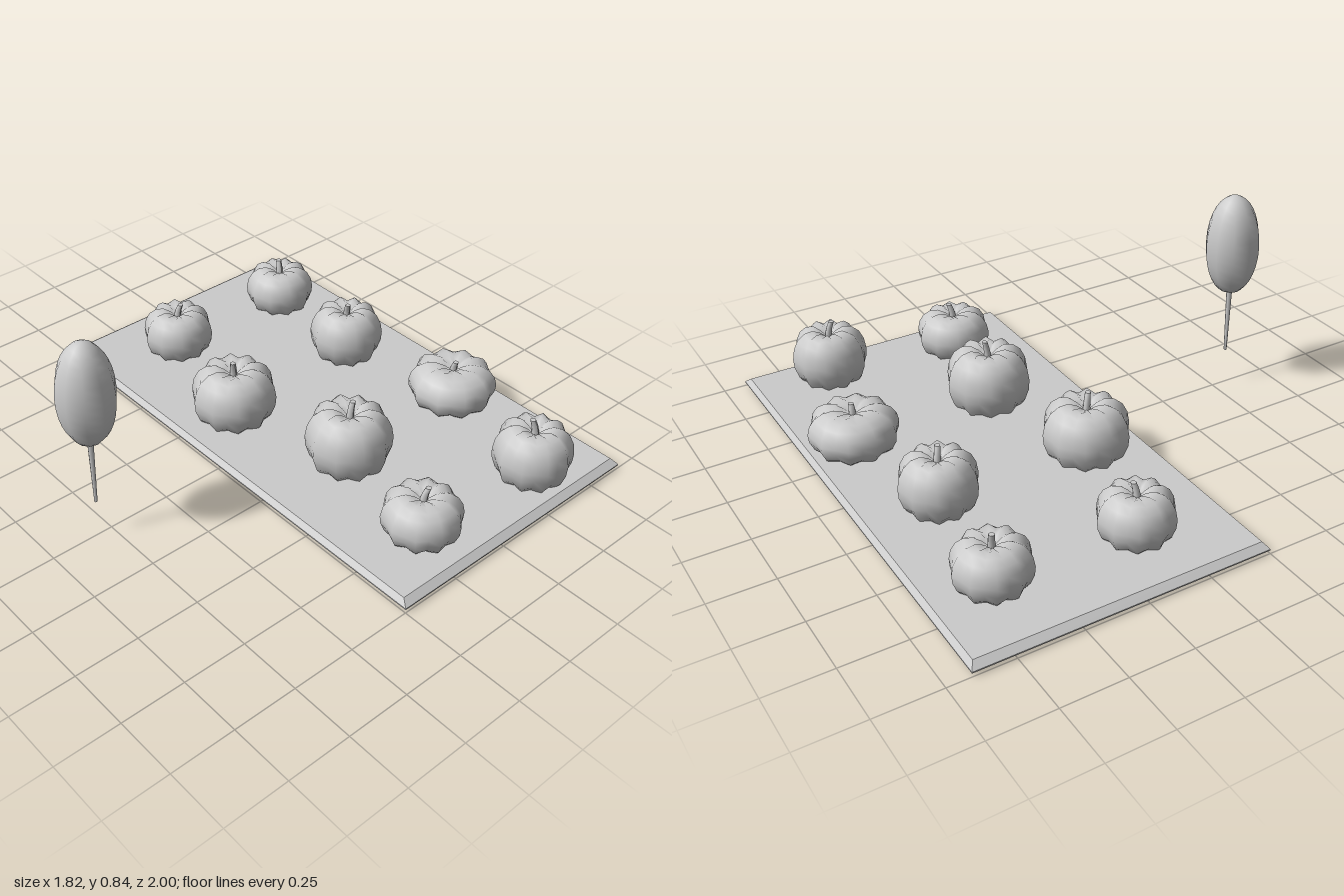
import * as THREE from 'three';
import { mergeVertices } from 'three/addons/utils/BufferGeometryUtils.js';

const material = new THREE.MeshStandardMaterial({ color: 0xcccccc });
const LOBES = 10;

function addMesh(parent, name, geometry) {
  const mesh = new THREE.Mesh(geometry, material);
  mesh.name = name;
  parent.add(mesh);
  return mesh;
}

// Weld the lathe seam and poles, then smooth
function smooth(geometry) {
  geometry.deleteAttribute('uv');
  geometry.deleteAttribute('normal');
  const welded = mergeVertices(geometry, 1e-4);
  welded.computeVertexNormals();
  return welded;
}

// Unit pumpkin body: radius 1, height 1, with grooves between the lobes
function pumpkinBody() {
  const profile = [
    [0, 0.12], [0.22, 0.04], [0.45, 0], [0.7, 0.06], [0.88, 0.2], [0.98, 0.38], [1, 0.54],
    [0.95, 0.72], [0.83, 0.87], [0.64, 0.97], [0.42, 1], [0.22, 0.95], [0, 0.84],
  ].map(([r, y]) => new THREE.Vector2(r, y));
  const geometry = new THREE.LatheGeometry(profile, LOBES * 2);
  const pos = geometry.attributes.position;
  for (let i = 0; i < pos.count; i++) {
    const segment = Math.floor(i / profile.length);
    const { x: r, y } = profile[i % profile.length];
    if (segment % 2 === 0 || r === 0) continue;
    pos.setXYZ(i, pos.getX(i) * 0.925, y - (y - 0.5) * 0.13, pos.getZ(i) * 0.925);
  }
  return smooth(geometry);
}

// Short stem that leans and flares at its foot
function pumpkinStem(length, leanX, leanZ) {
  const geometry = new THREE.CylinderGeometry(0.011, 0.015, length, 8, 3);
  geometry.translate(0, length / 2, 0);
  const pos = geometry.attributes.position;
  for (let i = 0; i < pos.count; i++) {
    const t = pos.getY(i) / length;
    pos.setX(i, pos.getX(i) + leanX * t * t);
    pos.setZ(i, pos.getZ(i) + leanZ * t * t);
  }
  geometry.computeVertexNormals();
  return geometry;
}

export function createModel() {
  const group = new THREE.Group();

  // Ground slab with sloping edges
  const slab = new THREE.BoxGeometry(1.16, 0.026, 2, 1, 2, 1);
  const sp = slab.attributes.position;
  for (let i = 0; i < sp.count; i++) {
    const y = sp.getY(i);
    if (y > 0.01) {
      sp.setX(i, sp.getX(i) * 0.97);
      sp.setZ(i, sp.getZ(i) * 0.972);
    } else if (Math.abs(y) < 0.001) {
      sp.setY(i, -0.008);
    }
  }
  const slabFlat = slab.toNonIndexed();
  slabFlat.computeVertexNormals();
  addMesh(group, 'groundSlab', slabFlat).position.set(0.33, 0.027, 0);

  // Pumpkins: x, z, radius, bottom, top, stem top, stem lean x, stem lean z, turn
  const body = pumpkinBody();
  const patch = [
    [0.11, -0.705, 0.145, 0.004, 0.225, 0.25, 0.01, 0.01, 0.1],
    [0.665, -0.685, 0.145, 0.011, 0.22, 0.25, 0.005, -0.012, 0.25],
    [-0.01, -0.19, 0.17, 0, 0.262, 0.293, -0.012, 0.01, 0.05],
    [0.62, -0.21, 0.15, 0.011, 0.262, 0.285, -0.01, 0.015, 0.15],
    [0.13, 0.32, 0.168, 0.001, 0.282, 0.312, 0.012, 0, 0.2],
    [0.72, 0.305, 0.176, 0.01, 0.205, 0.218, 0, 0.01, 0.1],
    [0.05, 0.78, 0.152, 0.011, 0.215, 0.243, 0.012, 0.01, 0.3],
    [0.595, 0.825, 0.152, 0.008, 0.262, 0.295, -0.015, -0.008, 0.12],
  ];
  patch.forEach(([x, z, r, bottom, top, stemTop, leanX, leanZ, turn], i) => {
    const pumpkin = new THREE.Group();
    pumpkin.name = `pumpkin${i + 1}`;
    pumpkin.position.set(x, bottom, z);
    const height = top - bottom;
    const shell = addMesh(pumpkin, 'pumpkinBody', body);
    shell.scale.set(r, height, r);
    shell.rotation.y = turn;
    const foot = height * 0.82;
    const stem = pumpkinStem(stemTop - bottom - foot, leanX, leanZ);
    addMesh(pumpkin, 'pumpkinStem', stem).position.y = foot;
    group.add(pumpkin);
  });

  // Tall egg-shaped crown with a cut-off base
  const tree = new THREE.Group();
  tree.name = 'tree';
  tree.position.set(-0.805, 0, 0);
  const crown = [new THREE.Vector2(0, 0.44)];
  for (let i = 0; i <= 14; i++) {
    const a = THREE.MathUtils.lerp(-1.13, Math.PI / 2, i / 14);
    crown.push(new THREE.Vector2(i === 14 ? 0 : 0.108 * Math.cos(a), 0.63 + 0.21 * Math.sin(a)));
  }
  addMesh(tree, 'treeCrown', smooth(new THREE.LatheGeometry(crown, 10)));

  // Thin trunk tapering downward
  const trunk = addMesh(tree, 'treeTrunk', new THREE.CylinderGeometry(0.012, 0.006, 0.3, 8));
  trunk.position.y = 0.305;
  group.add(tree);

  return group;
}
